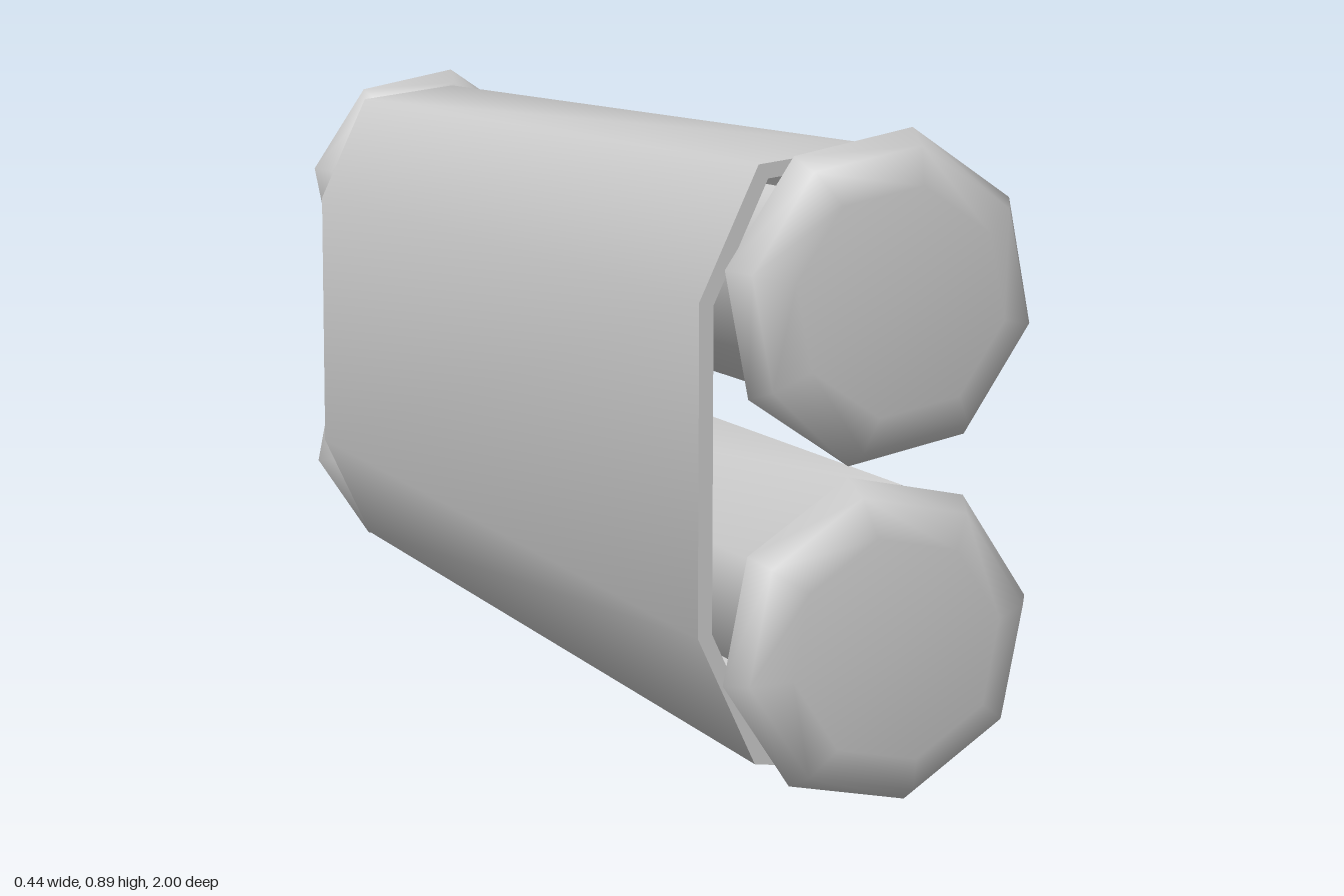
import * as THREE from 'three';
import { toCreasedNormals } from 'three/addons/utils/BufferGeometryUtils.js';

const MID_Y = 0.445;      // mirror plane between the two rolls
const THICKNESS = 0.02;
const SHEET_LENGTH = 1.74;
const material = new THREE.MeshStandardMaterial({ color: 0xcccccc, side: THREE.DoubleSide });

// Offset an open polyline to its right-hand side with mitred corners
function offsetPath(path, distance) {
  const normal = (a, b) => {
    const d = b.clone().sub(a).normalize();
    return new THREE.Vector2(d.y, -d.x);
  };
  return path.map((p, i) => {
    const n1 = normal(path[Math.max(i - 1, 0)], path[Math.max(i, 1)]);
    const n2 = normal(path[Math.min(i, path.length - 2)], path[Math.min(i + 1, path.length - 1)]);
    const miter = n1.clone().add(n2).normalize();
    return p.clone().addScaledVector(miter, distance / miter.dot(n1));
  });
}

// One sheet curled inward at both ends, seen in cross-section
function makeSheet() {
  const upper = [
    [-0.222, 0.665], [-0.14, 0.84], [0.025, 0.862], [0.165, 0.75], [0.185, 0.557],
    [0.07, 0.48], [-0.1, 0.59], [-0.12, 0.73], [0, 0.79],
  ].map(([x, y]) => new THREE.Vector2(x, y));
  const lower = upper.map((p) => new THREE.Vector2(p.x, 2 * MID_Y - p.y)).reverse();
  const outer = [...lower, ...upper];
  const inner = offsetPath(outer, THICKNESS);
  const shape = new THREE.Shape([...outer, ...inner.reverse()]);
  const geometry = new THREE.ExtrudeGeometry(shape, { depth: SHEET_LENGTH, bevelEnabled: false });
  geometry.translate(0, 0, -SHEET_LENGTH / 2);
  const mesh = new THREE.Mesh(toCreasedNormals(geometry, 1.35), material);
  mesh.name = 'rolledSheet';
  return mesh;
}

// Eight-sided rounded disc lying across the z axis
function makeCap(name, y, z, turn) {
  const profile = [
    [0, -0.0625], [0.15, -0.0625], [0.2, -0.036], [0.222, 0],
    [0.2, 0.036], [0.15, 0.0625], [0, 0.0625],
  ].map(([r, h]) => new THREE.Vector2(r, h));
  const geometry = new THREE.LatheGeometry(profile, 8, THREE.MathUtils.degToRad(turn));
  geometry.rotateX(Math.PI / 2);
  const mesh = new THREE.Mesh(geometry, material);
  mesh.name = name;
  mesh.position.set(0.002, y, z);
  return mesh;
}

export function createModel() {
  const model = new THREE.Group();
  model.name = 'scroll';
  model.add(makeSheet());
  // End caps, the lower pair mirrored from the upper pair
  for (const [end, z] of [['Front', 0.9375], ['Back', -0.9375]]) {
    model.add(makeCap(`upper${end}Cap`, MID_Y + 0.225, z, 33.8));
    model.add(makeCap(`lower${end}Cap`, MID_Y - 0.225, z, 11.2));
  }
  return model;
}
